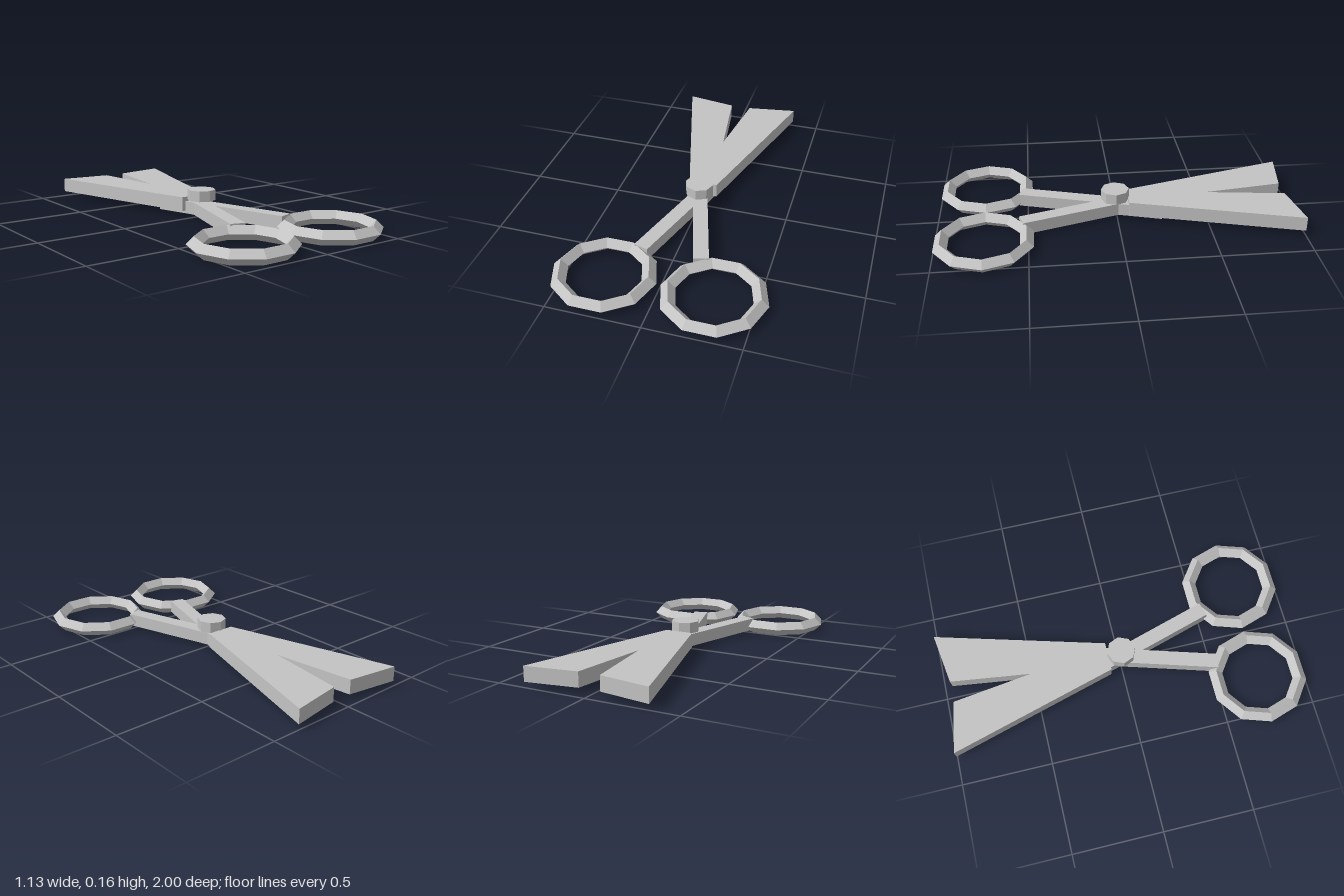
import * as THREE from 'three';

export function createModel() {
  const group = new THREE.Group();
  group.name = 'scissors';
  const steel = new THREE.MeshStandardMaterial({ color: 0xc4c4c4, flatShading: true });
  steel.name = 'grey steel';

  const add = (name, geometry, x, y, z, turn = 0) => {
    const mesh = new THREE.Mesh(geometry, steel);
    mesh.name = name;
    mesh.position.set(x, y, z);
    mesh.rotation.y = turn;
    group.add(mesh);
  };

  // Open blades, joined in a V (outline in x, z)
  const outline = [
    [-0.345, -1], [-0.06, -0.955], [0, -0.51], [0.06, -0.955],
    [0.345, -1], [0.08, -0.065], [-0.08, -0.065],
  ].map(([x, z]) => new THREE.Vector2(x, z));
  const blades = new THREE.ExtrudeGeometry(new THREE.Shape(outline), { depth: 0.08, bevelEnabled: false });
  blades.rotateX(Math.PI / 2);
  add('blades', blades, 0, 0.11, 0);

  // Crossing shanks and finger rings
  const shank = new THREE.BoxGeometry(0.081, 0.07, 0.826);
  const ring = new THREE.TorusGeometry(0.237, 0.039, 4, 10).rotateX(Math.PI / 2);
  for (const [side, s] of [['left', 1], ['right', -1]]) {
    add(side + 'Shank', shank, s * 0.044, 0.05, 0.14, s * 0.292);
    add(side + 'FingerRing', ring, s * 0.287, 0.04, 0.733);
  }

  // Pivot bolt head
  add('pivotBolt', new THREE.CylinderGeometry(0.079, 0.079, 0.06, 8), 0, 0.13, 0.009);
  return group;
}
